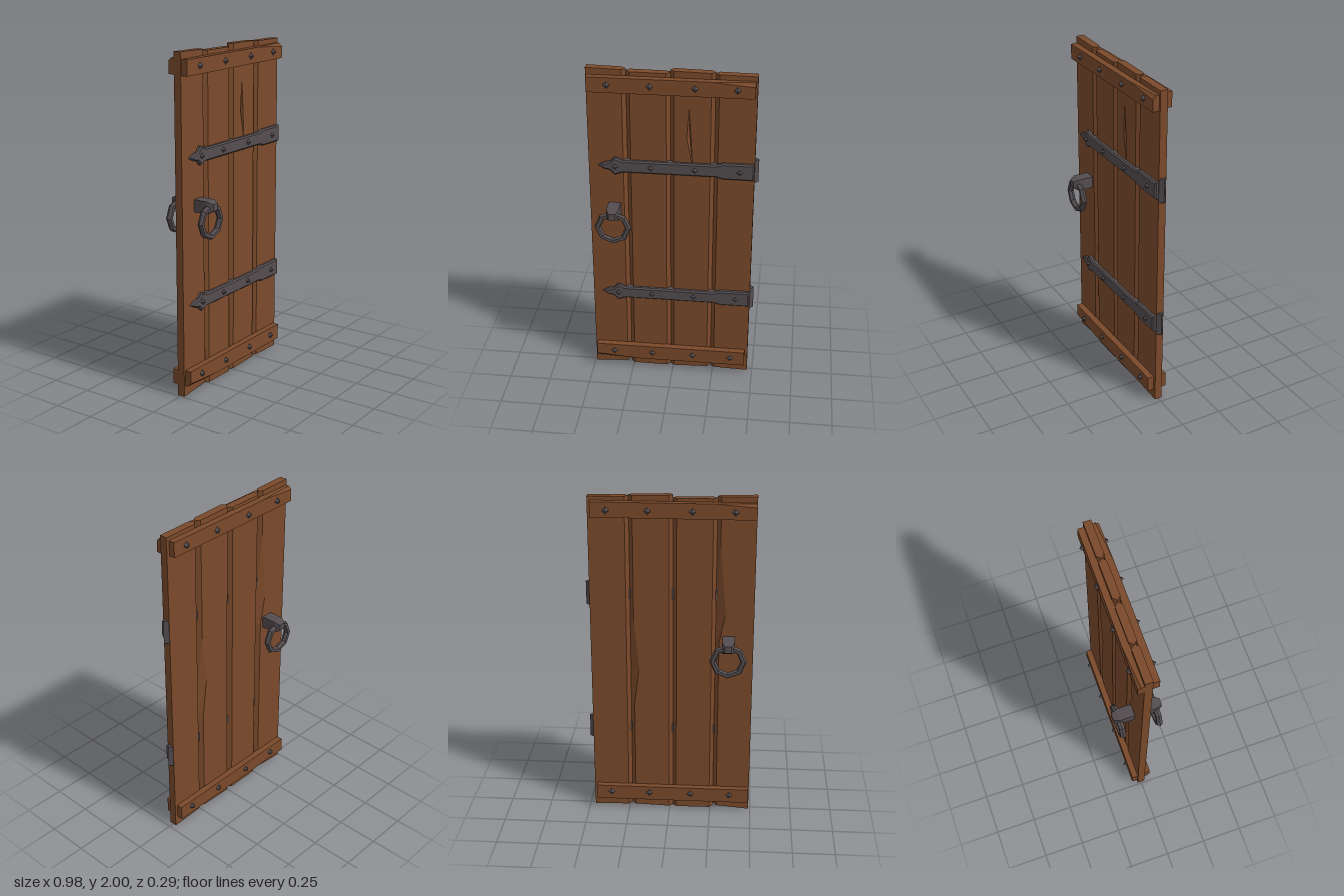
import * as THREE from 'three';
import { mergeGeometries } from 'three/addons/utils/BufferGeometryUtils.js';

const wood = new THREE.MeshStandardMaterial({ color: 0x7b4a2b, flatShading: true });
wood.name = 'wood';
const iron = new THREE.MeshStandardMaterial({ color: 0x544d50, flatShading: true });
iron.name = 'iron';

// Flat-shaded geometry from a flat list of triangle corners
function fromTriangles(corners) {
  const g = new THREE.BufferGeometry();
  g.setAttribute('position', new THREE.Float32BufferAttribute(corners.flat(), 3));
  g.computeVertexNormals();
  return g;
}

// Skin a row of matching convex loops and cap both ends; skip leaves one side open
function loft(loops, skip = -1) {
  const n = loops[0].length, tris = [];
  for (let i = 0; i < loops.length - 1; i++) {
    for (let j = 0; j < n; j++) {
      if (j === skip) continue;
      const k = (j + 1) % n, a = loops[i], b = loops[i + 1];
      tris.push([a[j], a[k], b[k]], [a[j], b[k], b[j]]);
    }
  }
  const first = loops[0], last = loops[loops.length - 1];
  for (let j = 1; j < n - 1; j++) {
    tris.push([first[0], first[j + 1], first[j]], [last[0], last[j], last[j + 1]]);
  }
  // turn the faces outward, judged from the middle of the first cap
  const v = (p) => new THREE.Vector3(...p);
  const c = v(first[0]).add(v(first[Math.floor(n / 2)])).multiplyScalar(0.5);
  let volume = 0;
  for (const [p, q, r] of tris) {
    volume += v(p).sub(c).dot(v(q).sub(c).cross(v(r).sub(c)));
  }
  if (volume < 0) tris.forEach((t) => t.reverse());
  return fromTriangles(tris.flat());
}

const FRONT = 0.022, BACK = -0.024, BEVEL = 0.022;

// One plank with V-grooved edges, sloping ends and an optional chip in its back edge
function plankGeometry(p, skip) {
  const { x0, x1, bottom, top, left = BEVEL, right = BEVEL, chip } = p;
  const section = (yL, yR, cut) => [
    [x0, 0], [x0 + left, FRONT], [x1 - right, FRONT],
    [x1, 0], [x1 - right - cut, BACK], [x0 + left, BACK],
  ].map(([x, z]) => [x, THREE.MathUtils.lerp(yL, yR, (x - x0) / (x1 - x0)), z]);
  const loops = [section(...bottom, 0)];
  if (chip) chip.forEach(([y, cut]) => loops.push(section(y, y, cut)));
  loops.push(section(...top, 0));
  return loft(loops, skip);
}

// Front face of a plank with a shallow split sunk into it
function splitFace(p, crack, deep) {
  const a = p.x0 + BEVEL, b = p.x1 - BEVEL;
  const at = (x, [l, r]) => THREE.MathUtils.lerp(l, r, (x - p.x0) / (p.x1 - p.x0));
  const shape = new THREE.Shape([[a, p.bottom], [b, p.bottom], [b, p.top], [a, p.top]]
    .map(([x, ends]) => new THREE.Vector2(x, at(x, ends))));
  shape.holes.push(new THREE.Path(crack.map((c) => new THREE.Vector2(...c))));
  const face = new THREE.ShapeGeometry(shape).toNonIndexed();
  face.deleteAttribute('uv');
  face.translate(0, 0, FRONT);
  const corners = [];
  crack.forEach((c, i) => {
    const d = crack[(i + 1) % crack.length];
    corners.push([...c, FRONT], [...d, FRONT], deep);
  });
  return mergeGeometries([face, fromTriangles(corners)]);
}

// Cross batten; cuts are [x, size] for the worn outer edge, upper or lower
function battenGeometry(y0, y1, side, cuts, lower) {
  const zi = side * 0.02, zo = side * 0.061;
  const flip = (y) => (lower ? y0 + y1 - y : y);
  return loft(cuts.map(([x, c]) => [
    [y0, zi], [y0, zo], [y1 - c, zo], [y1, zo - side * c], [y1, zi],
  ].map(([y, z]) => [x, flip(y), z])));
}

export function createModel() {
  const door = new THREE.Group();
  door.name = 'door';
  const add = (parent, name, geometry, material, x = 0, y = 0, z = 0) => {
    const mesh = new THREE.Mesh(geometry, material);
    mesh.name = name;
    mesh.position.set(x, y, z);
    parent.add(mesh);
    return mesh;
  };

  // Planks
  const planks = [
    { x0: -0.49, x1: -0.267, bottom: [0, 0.022], top: [2, 1.995], left: 0,
      chip: [[1.12, 0], [1.3, 0.035], [1.72, 0]] },
    { x0: -0.267, x1: -0.017, bottom: [0.004, 0.002], top: [1.985, 1.983] },
    { x0: -0.017, x1: 0.235, bottom: [0.002, 0.012], top: [2, 1.995],
      chip: [[0.7, 0], [0.95, 0.03], [1.25, 0]] },
    { x0: 0.235, x1: 0.468, bottom: [0.01, 0.002], top: [1.99, 1.987], right: 0 },
  ];
  planks.forEach((p, i) => add(door, 'plank' + (i + 1), plankGeometry(p, i === 2 ? 1 : -1), wood));
  add(door, 'splitPlankFace', splitFace(planks[2],
    [[0.09, 1.78], [0.078, 1.6], [0.112, 1.42], [0.103, 1.6]], [0.094, 1.6, 0.006]), wood);

  // Battens with worn corners
  add(door, 'frontTopBatten', battenGeometry(1.87, 1.96, 1,
    [[-0.483, 0], [0.21, 0], [0.457, 0.021]]), wood);
  add(door, 'frontBottomBatten', battenGeometry(0.065, 0.16, 1,
    [[-0.478, 0.021], [-0.2, 0], [0.45, 0]], true), wood);
  add(door, 'backTopBatten', battenGeometry(1.875, 1.965, -1,
    [[-0.49, 0.018], [-0.25, 0], [0.45, 0]]), wood);
  add(door, 'backBottomBatten', battenGeometry(0.065, 0.155, -1,
    [[-0.485, 0], [0.45, 0]]), wood);

  // Pyramid studs
  const studGeometry = new THREE.ConeGeometry(0.021, 0.021, 4).rotateX(Math.PI / 2);
  const addStud = (parent, x, y, z, side) => {
    const stud = add(parent, 'stud', studGeometry, iron, x, y, z + side * 0.0105);
    if (side < 0) stud.rotation.y = Math.PI;
  };
  for (const y of [0.115, 1.917]) {
    for (const x of [-0.368, -0.128, 0.125, 0.36]) {
      for (const side of [1, -1]) addStud(door, x, y, side * 0.061, side);
    }
  }

  // Strap hinges with spear tips
  const half = [[0.458, 0.042], [0.29, 0.042], [0.25, 0.03], [-0.295, 0.03],
    [-0.335, 0.046], [-0.36, 0.018], [-0.395, 0.012]];
  const outline = [...half, [-0.422, 0], ...half.slice().reverse().map(([x, y]) => [x, -y])];
  const strapGeometry = new THREE.ExtrudeGeometry(
    new THREE.Shape(outline.map((p) => new THREE.Vector2(...p))),
    { depth: 0.032, bevelThickness: 0.009, bevelSize: 0.008, bevelSegments: 1 });
  for (const [name, y] of [['lowerHinge', 0.545], ['upperHinge', 1.408]]) {
    const hinge = new THREE.Group();
    hinge.name = name;
    hinge.position.y = y;
    add(hinge, 'strap', strapGeometry, iron, 0, 0, 0.004);
    add(hinge, 'hingeBarrel', new THREE.CylinderGeometry(0.022, 0.022, 0.142, 4), iron, 0.468);
    for (const x of [-0.335, -0.128, 0.125, 0.383]) addStud(hinge, x, 0, 0.042, 1);
    door.add(hinge);
  }

  // Handle block passing through the door, with a ring on each side
  const block = [[-0.148, 0.02, 1.108, 1.148], [-0.115, 0.036, 1.09, 1.162],
    [0.112, 0.036, 1.09, 1.162], [0.145, 0.02, 1.108, 1.148]];
  add(door, 'handleBlock', loft(block.map(([z, w, y0, y1]) => [
    [-0.345 - w, y0, z], [-0.345 + w, y0, z], [-0.345 + w, y1, z], [-0.345 - w, y1, z],
  ])), iron);
  const ringGeometry = new THREE.TorusGeometry(0.09, 0.019, 6, 8);
  add(door, 'frontRing', ringGeometry, iron, -0.345, 1.042, 0.11);
  add(door, 'backRing', ringGeometry, iron, -0.345, 1.042, -0.113);

  return door;
}
